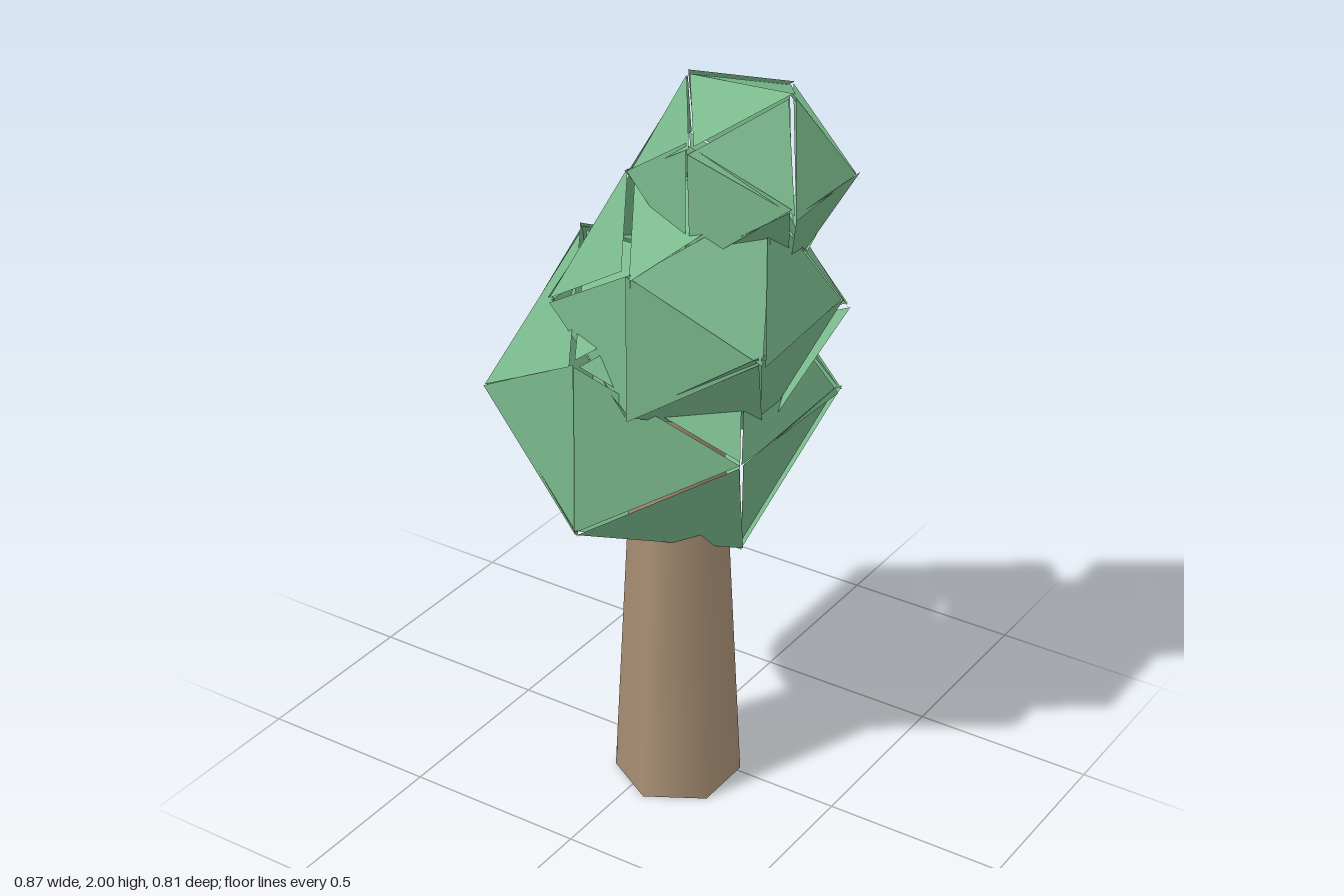
import * as THREE from 'three';

// Small seeded generator, returns -1..1
function makeNoise(seed) {
  let s = seed;
  return () => {
    s = (s * 16807) % 2147483647;
    return (s / 2147483647) * 2 - 1;
  };
}

// Leaf clump: icosahedron whose loose triangles are each nudged apart
function leafClump(name, radius, position, seed, material) {
  const geometry = new THREE.IcosahedronGeometry(radius, 0);
  const noise = makeNoise(seed);
  const jitter = 0.014;
  const p = geometry.attributes.position;
  for (let i = 0; i < p.count; i++) {
    p.setXYZ(
      i,
      p.getX(i) + noise() * jitter,
      Math.min(p.getY(i) + noise() * jitter, 2 - position[1]),
      p.getZ(i) + noise() * jitter
    );
  }
  geometry.computeVertexNormals();
  const mesh = new THREE.Mesh(geometry, material);
  mesh.name = name;
  mesh.position.set(...position);
  return mesh;
}

export function createModel() {
  const tree = new THREE.Group();
  tree.name = 'tree';

  const bark = new THREE.MeshStandardMaterial({ color: 0xa98f74 });
  // The leaf triangles do not join up, so both sides show
  const leaves = new THREE.MeshStandardMaterial({
    color: 0x7ab98c,
    flatShading: true,
    side: THREE.DoubleSide,
  });

  // Tapered six-sided trunk, its top hidden in the leaves
  const height = 1.2;
  const trunk = new THREE.Mesh(new THREE.CylinderGeometry(0.11, 0.17, height, 6), bark);
  trunk.name = 'trunk';
  trunk.position.set(0.055, height / 2, 0.07);
  tree.add(trunk);

  // Three stacked clumps, smaller towards the top
  tree.add(
    leafClump('lowerLeaves', 0.46, [-0.04, 1.11, 0], 52361, leaves),
    leafClump('middleLeaves', 0.366, [0.112, 1.43, 0.07], 81799, leaves),
    leafClump('upperLeaves', 0.278, [0.182, 1.755, -0.015], 64007, leaves)
  );
  return tree;
}
